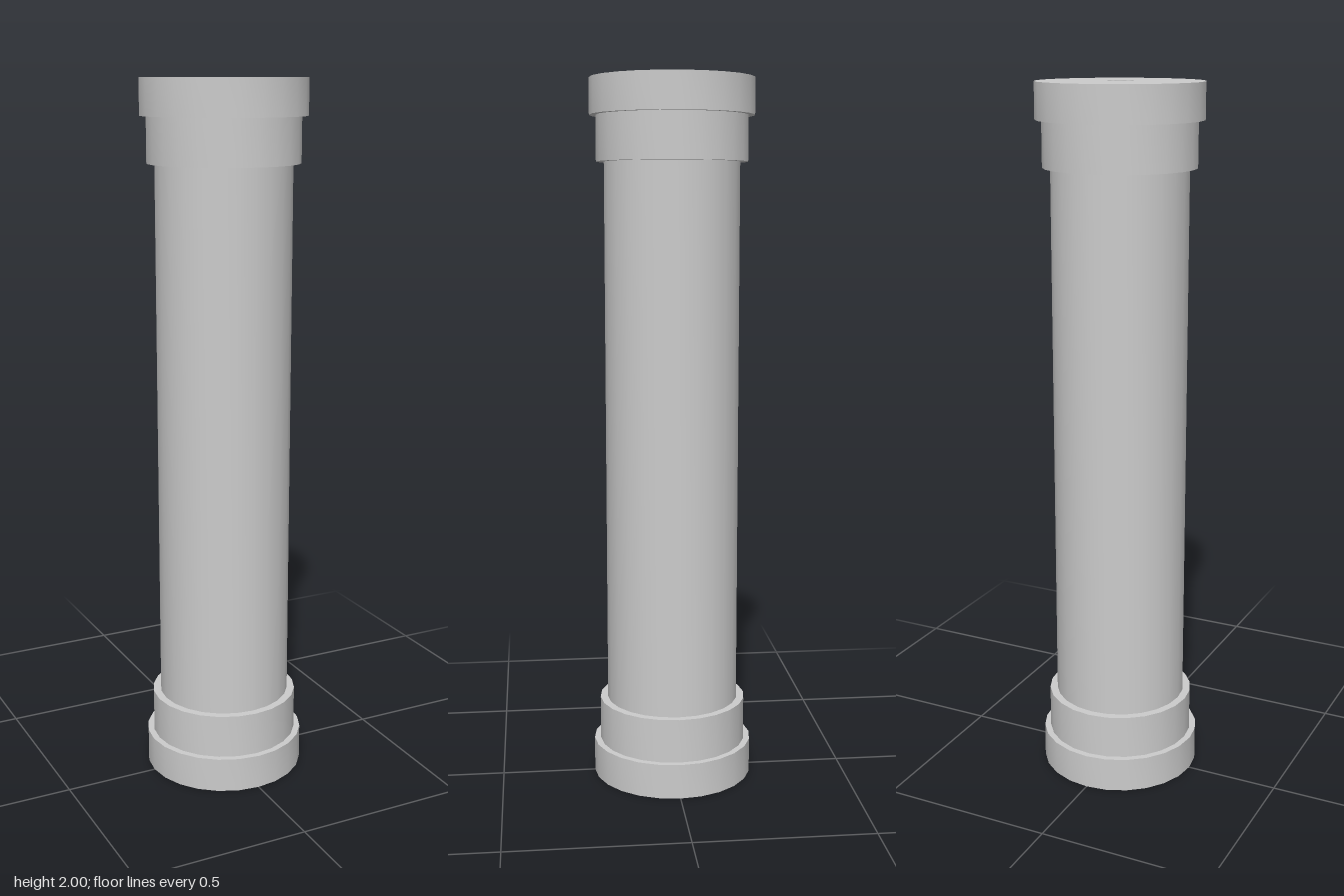
import * as THREE from 'three';
import { toCreasedNormals } from 'three/addons/utils/BufferGeometryUtils.js';

const SIDES = 24;
const material = new THREE.MeshStandardMaterial({ color: 0xcccccc });

// Revolves a closed [radius, height] outline, listed up the outside and down the inside
function revolve(name, outline) {
  const points = [...outline, outline[0]].map(([r, y]) => new THREE.Vector2(r, y));
  const geometry = toCreasedNormals(new THREE.LatheGeometry(points, SIDES), 0.6);
  const mesh = new THREE.Mesh(geometry, material);
  mesh.name = name;
  return mesh;
}

// Cup with a pierced floor, plus the collar that steps down to the pipe
function makeEnd(name) {
  const end = new THREE.Group();
  end.name = name;
  end.add(revolve('cap', [
    [0.035, 0], [0.23, 0], [0.23, 0.1], [0.2, 0.1], [0.2, 0.02], [0.035, 0.02],
  ]));
  end.add(revolve('collar', [
    [0.18, 0.02], [0.212, 0.02], [0.212, 0.226], [0.18, 0.226],
  ]));
  return end;
}

export function createModel() {
  const model = new THREE.Group();
  model.name = 'cappedPipe';

  // Hollow pipe
  model.add(revolve('pipe', [
    [0.17, 0.02], [0.19, 0.02], [0.19, 1.98], [0.17, 1.98],
  ]));

  // Matching ends, the upper one turned over
  const top = makeEnd('topEnd');
  top.rotation.x = Math.PI;
  top.position.y = 2;
  model.add(makeEnd('bottomEnd'), top);

  return model;
}
